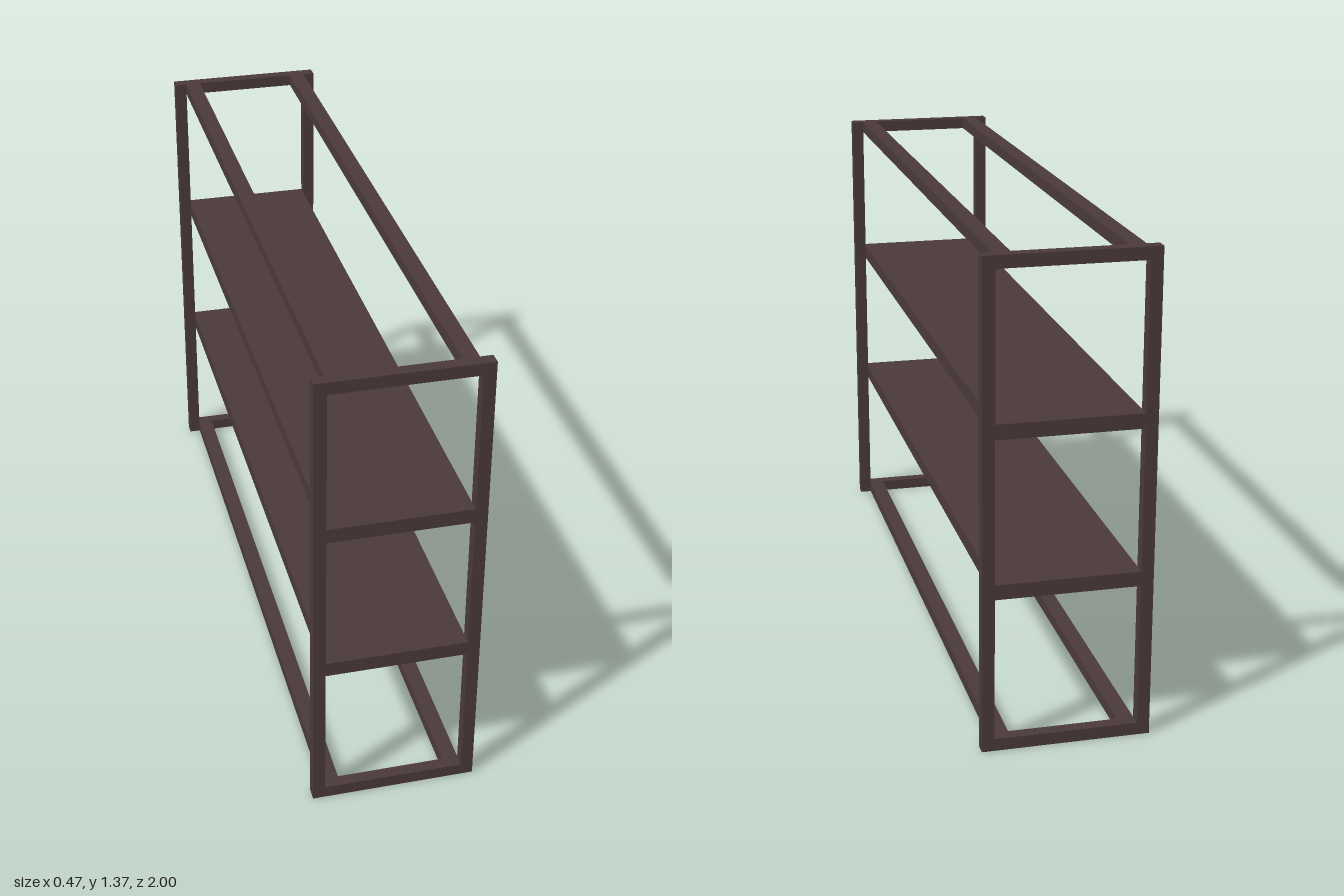
import * as THREE from 'three';

export function createModel() {
  const model = new THREE.Group();
  const brown = new THREE.MeshStandardMaterial({ color: 0x4a3a39 });
  brown.name = 'darkBrown';

  // Box given by its extents on each axis
  const box = (name, x0, x1, y0, y1, z0, z1) => {
    const mesh = new THREE.Mesh(new THREE.BoxGeometry(x1 - x0, y1 - y0, z1 - z0), brown);
    mesh.position.set((x0 + x1) / 2, (y0 + y1) / 2, (z0 + z1) / 2);
    mesh.name = name;
    model.add(mesh);
  };

  const H = 1.37, T = 0.035, X = 0.235, IN = 0.2, Z = 1;

  // Four corner posts
  for (const sx of [-1, 1])
    for (const sz of [-1, 1]) {
      const cx = sx * (X + IN) / 2, cz = sz * (Z - T / 2);
      box('cornerPost', cx - T / 2, cx + T / 2, 0, H, cz - T / 2, cz + T / 2);
    }

  // Bottom and top frames: end crossbars and inset long rails
  for (const y of [0, H - T])
    for (const s of [-1, 1]) {
      const cz = s * (Z - T / 2), cx = s * 0.177;
      box('endCrossbar', -IN, IN, y, y + T, cz - T / 2, cz + T / 2);
      box('longRail', cx - 0.023, cx + 0.023, y, y + T, -Z + T, Z - T);
    }

  // Two full-length shelves between the posts
  for (const y of [0.443, 0.887]) box('shelf', -IN, IN, y, y + 0.042, -Z, Z);

  return model;
}
